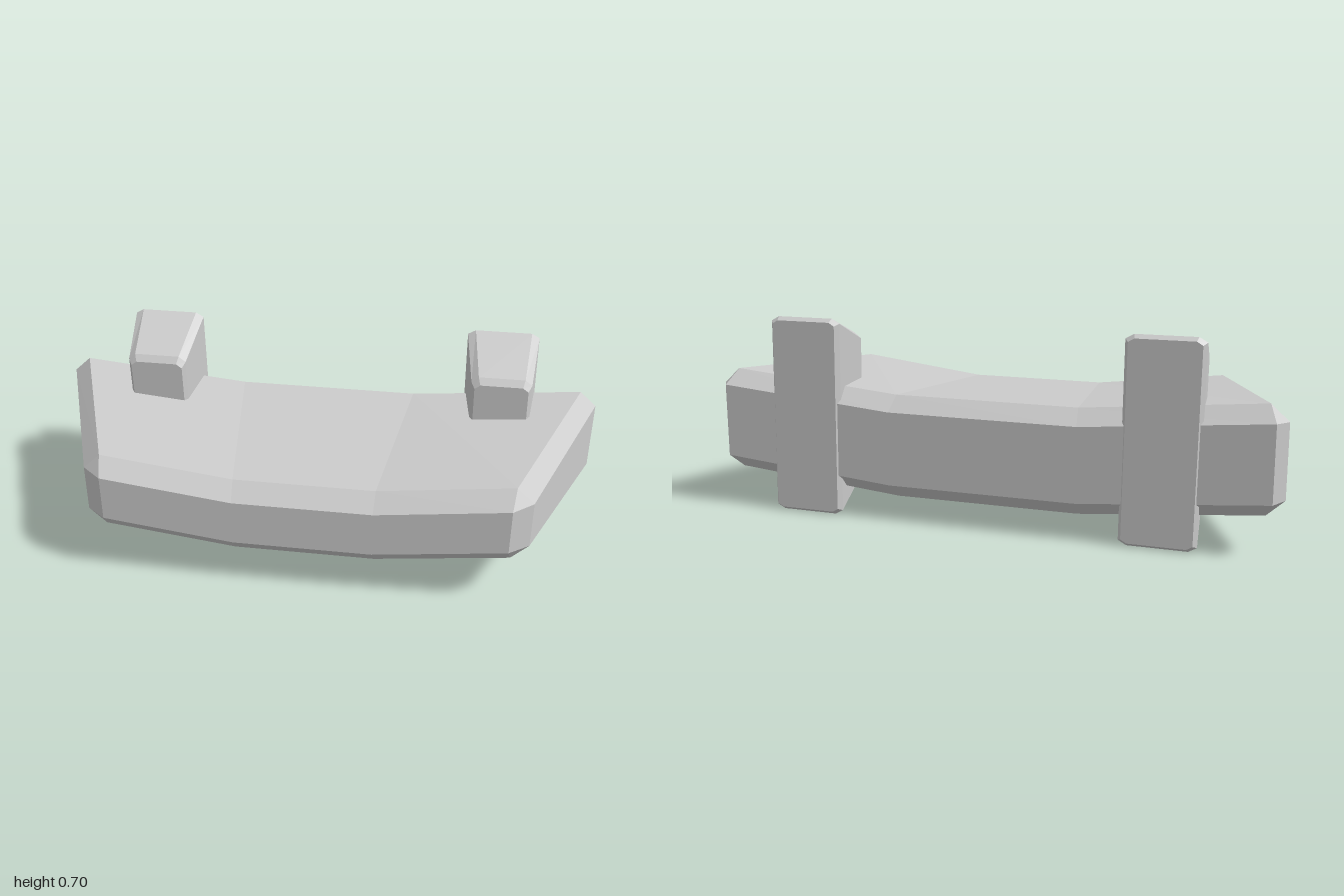
import * as THREE from 'three';

const material = new THREE.MeshStandardMaterial({ color: 0xcccccc, flatShading: true });

// Skins a row of equal-length rings (counter-clockwise seen from the last ring) and caps both ends.
function loft(rings) {
  const pos = [];
  const tri = (a, b, c) => {
    const n = b.clone().sub(a).cross(c.clone().sub(a));
    if (n.length() > 1e-7) for (const p of [a, b, c]) pos.push(p.x, p.y, p.z);
  };
  const count = rings[0].length;
  for (let i = 0; i < rings.length - 1; i++) {
    for (let j = 0; j < count; j++) {
      const k = (j + 1) % count;
      tri(rings[i][j], rings[i][k], rings[i + 1][k]);
      tri(rings[i][j], rings[i + 1][k], rings[i + 1][j]);
    }
  }
  const first = rings[0], last = rings[rings.length - 1];
  for (let j = 1; j < count - 1; j++) {
    tri(first[0], first[j + 1], first[j]);
    tri(last[0], last[j], last[j + 1]);
  }
  const geometry = new THREE.BufferGeometry();
  geometry.setAttribute('position', new THREE.Float32BufferAttribute(pos, 3));
  geometry.computeVertexNormals();
  return geometry;
}

// Bevelled cross-section of the bar: [x at the bevelled end, y at mid-span, z]
const section = [
  [0.965, 0.128, -0.36], [0.965, 0.388, -0.36],
  [0.94, 0.44, -0.305], [0.71, 0.4, 0.31],
  [0.7, 0.34, 0.366], [0.7, 0.175, 0.366],
  [0.71, 0.115, 0.31], [0.94, 0.076, -0.305],
];
// Each section point folds onto one corner of the end face: [x, y, z]
const backLow = [1, 0.131, -0.305], backHigh = [1, 0.385, -0.305];
const frontHigh = [0.77, 0.343, 0.31], frontLow = [0.77, 0.172, 0.31];
const endFace = [backLow, backHigh, backHigh, frontHigh, frontHigh, frontLow, frontLow, backLow];

// Curved bar: straight middle, raised outer thirds, bevelled end faces
function barGeometry() {
  const lift = 0.057;
  const ring = (points, scale, dy) =>
    points.map(([x, y, z]) => new THREE.Vector3(x * scale, y + dy, z));
  return loft([
    ring(endFace, -1, lift),
    ring(section, -1, lift),
    ring(section, -0.345, 0),
    ring(section, 0.345, 0),
    ring(section, 1, lift),
    ring(endFace, 1, lift),
  ]);
}

// Tapered clamp: chamfered rectangles from the back plate to the front nose
function clampGeometry() {
  const ring = (z, w, low, high, cx, cy) => [
    [w, low + cy], [w, high - cy], [w - cx, high], [-w + cx, high],
    [-w, high - cy], [-w, low + cy], [-w + cx, low], [w - cx, low],
  ].map(([x, y]) => new THREE.Vector3(x - 0.016 * (y - 0.35), y, z));
  return loft([
    ring(-0.366, 0.118, 0.012, 0.688, 0.02, 0.012),
    ring(-0.348, 0.13, 0, 0.7, 0.028, 0.016),
    ring(-0.134, 0.107, 0.083, 0.62, 0.025, 0.02),
    ring(-0.116, 0.095, 0.105, 0.597, 0.02, 0.015),
  ]);
}

export function createModel() {
  const model = new THREE.Group();
  model.name = 'clampedBar';

  const bar = new THREE.Mesh(barGeometry(), material);
  bar.name = 'bar';
  model.add(bar);

  // Two identical clamps gripping the back of the bar
  const clamp = clampGeometry();
  for (const [name, x] of [['rightClamp', -0.61], ['leftClamp', 0.647]]) {
    const mesh = new THREE.Mesh(clamp, material);
    mesh.name = name;
    mesh.position.x = x;
    model.add(mesh);
  }
  return model;
}
